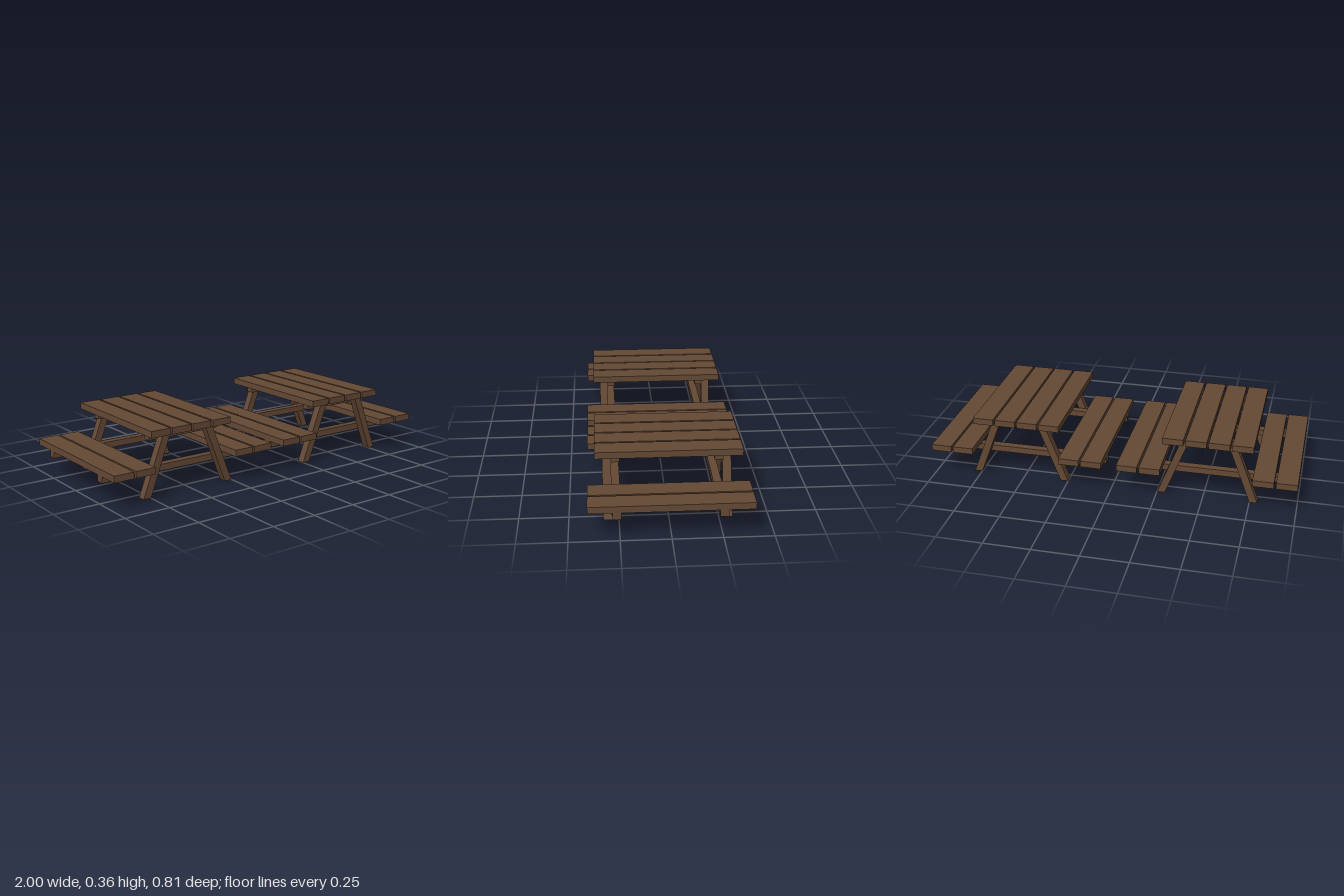
import * as THREE from 'three';

const wood = new THREE.MeshStandardMaterial({ color: 0x654935 });
wood.name = 'brown wood';

const BOARD = 0.112, THICK = 0.035;

// Box placed by its centre
function plank(name, w, h, d, x, y, z) {
  const mesh = new THREE.Mesh(new THREE.BoxGeometry(w, h, d), wood);
  mesh.name = name;
  mesh.position.set(x, y, z);
  return mesh;
}

// Slanted leg with level ends, leaning inward towards the table top
function leg(side, z) {
  const height = 0.322, half = 0.0215, foot = 0.25, head = 0.127;
  const shape = new THREE.Shape([
    new THREE.Vector2(side * foot - half, 0),
    new THREE.Vector2(side * foot + half, 0),
    new THREE.Vector2(side * head + half, height),
    new THREE.Vector2(side * head - half, height),
  ]);
  const geometry = new THREE.ExtrudeGeometry(shape, { depth: 0.045, bevelEnabled: false });
  geometry.translate(0, 0, -0.0225);
  const mesh = new THREE.Mesh(geometry, wood);
  mesh.name = 'leg';
  mesh.position.z = z;
  return mesh;
}

function picnicTable(name, x) {
  const table = new THREE.Group();
  table.name = name;
  table.position.x = x;

  // Four table top boards
  for (const bx of [-0.184, -0.061, 0.061, 0.184])
    table.add(plank('tableTopBoard', BOARD, THICK, 0.734, bx, 0.3395, -0.002));

  // Two boards for each bench
  for (const bx of [-0.423, -0.3, 0.3, 0.423])
    table.add(plank('benchBoard', BOARD, THICK, 0.81, bx, 0.1675, 0));

  // End frames: legs outside, cross rails inside
  for (const [legZ, railZ] of [[0.306, 0.263], [-0.296, -0.252]]) {
    table.add(leg(-1, legZ), leg(1, legZ));
    table.add(plank('topRail', 0.412, THICK, 0.043, 0, 0.3045, railZ));
    table.add(plank('benchRail', 0.958, THICK, 0.043, 0, 0.1325, railZ));
  }
  return table;
}

export function createModel() {
  const model = new THREE.Group();
  model.name = 'picnicTables';
  model.add(picnicTable('rightTable', -0.521), picnicTable('leftTable', 0.521));
  return model;
}
